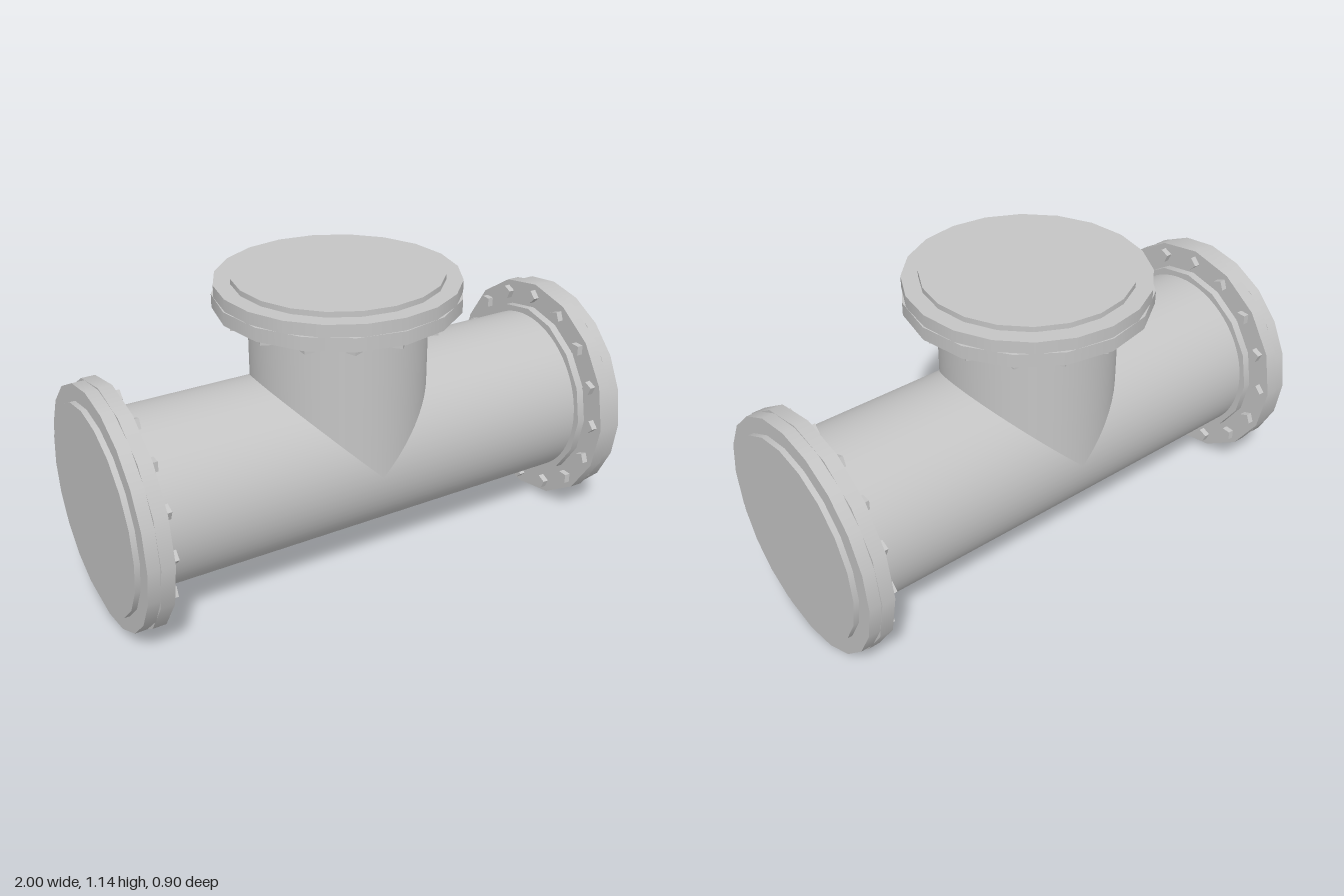
import * as THREE from 'three';

const PIPE_R = 0.325;
const AXIS_Y = 0.451;
const BRANCH_X = -0.024;
const TOP_Y = 1.137;

const steel = new THREE.MeshStandardMaterial({ color: 0xc4c4c4 });
steel.name = 'steel grey';

// Upright disc spanning two depths below the flange's outer end
function disc(name, radius, from, to, sides) {
  const mesh = new THREE.Mesh(new THREE.CylinderGeometry(radius, radius, to - from, sides), steel);
  mesh.name = name;
  mesh.position.y = -(from + to) / 2;
  return mesh;
}

// Bolted blind flange, outer end at y = 0, pipe leaving downwards
function makeFlange(name) {
  const flange = new THREE.Group();
  flange.name = name;
  flange.add(
    disc('raisedFace', 0.383, 0, 0.021, 20),
    disc('blindPlate', 0.444, 0.02, 0.065, 20),
    disc('flangeRing', 0.45, 0.065, 0.115, 16),
    disc('collar', 0.353, 0.115, 0.145, 16)
  );

  // Square bolt heads, one corner pointing outwards
  const boltGeometry = new THREE.CylinderGeometry(0.026, 0.026, 0.03, 4).toNonIndexed();
  boltGeometry.computeVertexNormals();
  for (let i = 0; i < 16; i++) {
    const a = (i / 16) * Math.PI * 2;
    const bolt = new THREE.Mesh(boltGeometry, steel);
    bolt.name = 'bolt';
    bolt.position.set(Math.sin(a) * 0.402, -0.123, Math.cos(a) * 0.402);
    bolt.rotation.y = a;
    flange.add(bolt);
  }
  return flange;
}

export function createModel() {
  const model = new THREE.Group();
  model.name = 'pipeTee';

  // Main run of pipe along x
  const run = new THREE.Mesh(new THREE.CylinderGeometry(PIPE_R, PIPE_R, 1.8, 64, 1, true), steel);
  run.name = 'mainPipe';
  run.rotation.z = Math.PI / 2;
  run.position.y = AXIS_Y;
  model.add(run);

  // Branch pipe, lower rim mitred to meet the equal-sized main pipe
  const height = TOP_Y - 0.1 - AXIS_Y;
  const branchGeometry = new THREE.CylinderGeometry(PIPE_R, PIPE_R, height, 64, 1, true);
  branchGeometry.translate(0, height / 2, 0);
  const p = branchGeometry.attributes.position;
  for (let i = 0; i < p.count; i++) {
    if (p.getY(i) < height / 2) p.setY(i, Math.abs(p.getX(i)));
  }
  const branch = new THREE.Mesh(branchGeometry, steel);
  branch.name = 'branchPipe';
  branch.position.set(BRANCH_X, AXIS_Y, 0);
  model.add(branch);

  // Flanges on both ends and on the branch
  for (const side of [-1, 1]) {
    const end = makeFlange(side > 0 ? 'leftFlange' : 'rightFlange');
    end.rotation.z = -side * Math.PI / 2;
    end.position.set(side, AXIS_Y, 0);
    model.add(end);
  }
  const top = makeFlange('topFlange');
  top.position.set(BRANCH_X, TOP_Y, 0);
  model.add(top);

  return model;
}
